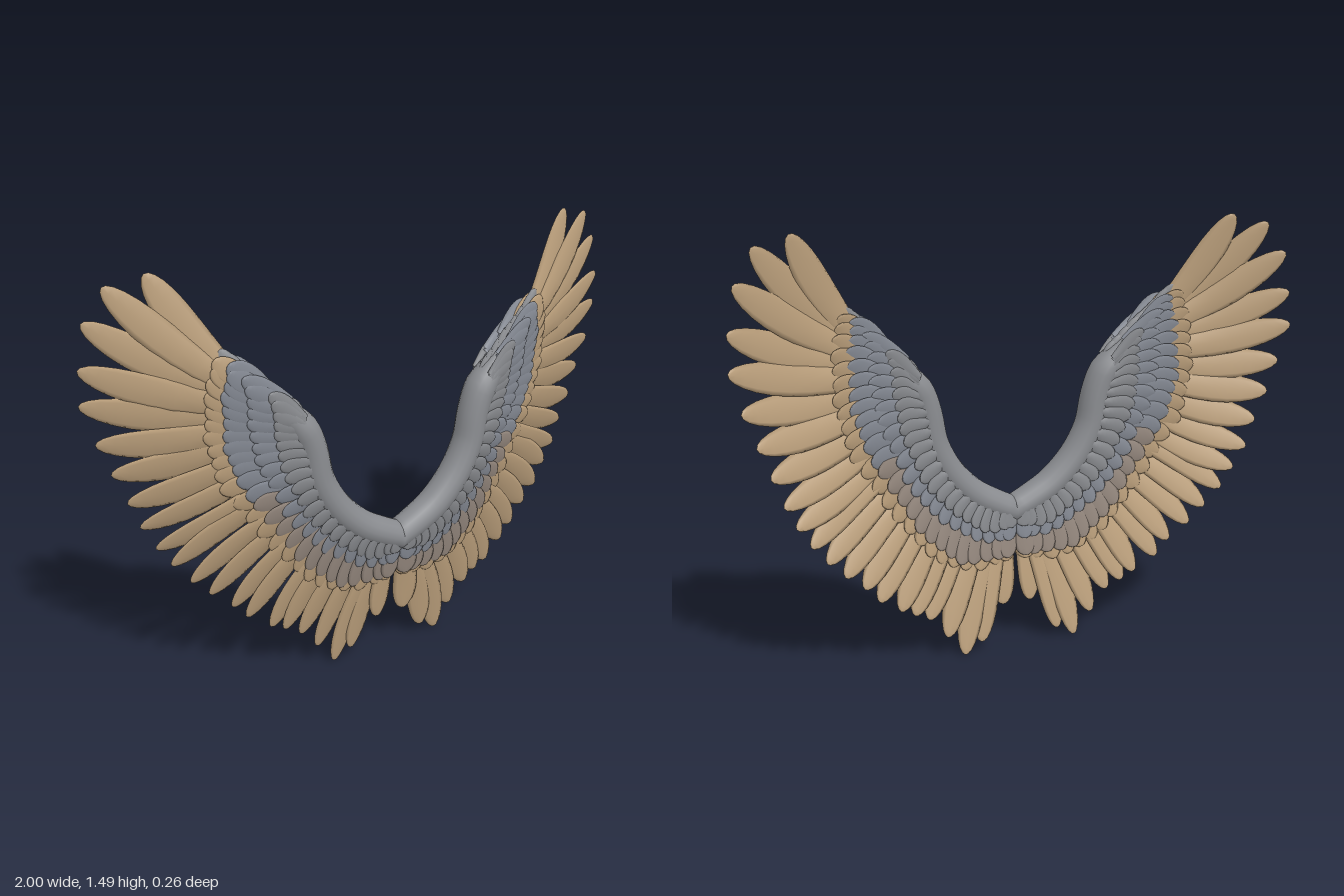
import * as THREE from 'three';

const mat = (name, color) => Object.assign(new THREE.MeshStandardMaterial({ color }), { name });
const spline = (pts) => new THREE.SplineCurve(pts.map(([x, y]) => new THREE.Vector2(x, y)));

// Wing arm: x, y, radius
const ARM = [
  [0, 0.482, 0.05], [0.08, 0.52, 0.053], [0.16, 0.57, 0.054], [0.24, 0.655, 0.054], [0.295, 0.76, 0.053],
  [0.318, 0.87, 0.053], [0.352, 0.955, 0.054], [0.42, 1.025, 0.042], [0.5, 1.105, 0.032], [0.58, 1.185, 0.012],
];
const armCurve = spline(ARM);
const armSamples = armCurve.getPoints(60);

// Curved sheet of the wing: sweeps back outwards and away from the arm
function sheetZ(x, y) {
  let d = 9;
  for (const p of armSamples) d = Math.min(d, Math.hypot(p.x - x, p.y - y));
  return 0.075 - 0.14 * x * x - 0.14 * d;
}

// Primary and secondary feather tips, from the top round to the tail
const FLIGHT_TIPS = [
  [0.785, 1.49], [0.905, 1.46], [0.97, 1.355], [0.995, 1.215], [1.0, 1.1], [0.965, 0.97], [0.925, 0.86], [0.885, 0.755],
  [0.85, 0.66], [0.81, 0.58], [0.765, 0.51], [0.71, 0.44], [0.65, 0.38], [0.58, 0.32], [0.53, 0.265], [0.45, 0.21],
  [0.4, 0.185], [0.345, 0.155], [0.28, 0.08], [0.215, 0.0], [0.15, 0.035], [0.055, 0.15],
];
const FLIGHT_ROOTS = [
  [0.54, 1.12], [0.51, 1.06], [0.47, 0.97], [0.43, 0.86], [0.39, 0.72], [0.32, 0.6], [0.22, 0.52], [0.1, 0.45], [0.03, 0.42],
];

// Covert rows: root x, y, tip x, y along the wing
const GREATER = [
  [0.5, 1.1, 0.63, 1.23], [0.5, 1.02, 0.66, 1.1], [0.46, 0.92, 0.66, 0.94], [0.42, 0.8, 0.62, 0.78],
  [0.36, 0.66, 0.5, 0.58], [0.27, 0.56, 0.36, 0.4], [0.15, 0.5, 0.22, 0.3], [0.03, 0.45, 0.04, 0.3],
];
const BAND = [
  [0.46, 1.1, 0.59, 1.21], [0.46, 1.02, 0.61, 1.1], [0.42, 0.92, 0.61, 0.94], [0.39, 0.8, 0.57, 0.8],
  [0.34, 0.67, 0.46, 0.6], [0.25, 0.57, 0.335, 0.42], [0.14, 0.5, 0.195, 0.32], [0.03, 0.46, 0.035, 0.32],
];
const MEDIAN = [
  [0.4, 1.06, 0.55, 1.16], [0.4, 1.0, 0.54, 1.05], [0.37, 0.9, 0.53, 0.92], [0.34, 0.8, 0.48, 0.78],
  [0.29, 0.68, 0.4, 0.61], [0.21, 0.6, 0.29, 0.49], [0.12, 0.54, 0.16, 0.4], [0.03, 0.49, 0.03, 0.38],
];
const LESSER = [
  [0.36, 1.0, 0.47, 1.1], [0.36, 0.96, 0.46, 1.0], [0.33, 0.88, 0.45, 0.88], [0.3, 0.78, 0.41, 0.75],
  [0.25, 0.67, 0.34, 0.61], [0.17, 0.58, 0.24, 0.51], [0.1, 0.53, 0.13, 0.43], [0.03, 0.49, 0.02, 0.43],
];
const EDGE = [[0.34, 0.97, 0.4, 1.06], [0.4, 1.02, 0.47, 1.13], [0.46, 1.07, 0.54, 1.19], [0.53, 1.12, 0.605, 1.255]];

// Skins closed rings of points into one growing geometry
function loft(out, rings, side) {
  const base = out.pos.length / 3, n = rings[0].length;
  for (const ring of rings) for (const [x, y, z] of ring) out.pos.push(x * side, y, z);
  for (let i = 0; i < rings.length - 1; i++) {
    for (let j = 0; j < n; j++) {
      const a = base + i * n + j, b = base + i * n + (j + 1) % n, c = a + n, d = b + n;
      if (side > 0) out.idx.push(a, b, c, b, d, c);
      else out.idx.push(a, c, b, b, c, d);
    }
  }
}

function toMesh(out, name, material) {
  const g = new THREE.BufferGeometry();
  g.setAttribute('position', new THREE.Float32BufferAttribute(out.pos, 3));
  g.setIndex(out.idx);
  g.computeVertexNormals();
  const m = new THREE.Mesh(g, material);
  m.name = name;
  return m;
}

// One lens-shaped feather with a rounded tip, lying on the sheet
function feather(out, side, [rx, ry, tx, ty], { half, thick, off, bend = 0, tilt = 0.15 }) {
  const dx = tx - rx, dy = ty - ry, len = Math.hypot(dx, dy);
  const px = -dy / len, py = dx / len;
  const rings = [];
  for (let i = 0; i <= 10; i++) {
    const s = Math.sin((i / 10) * Math.PI / 2);
    const w = half * (s < 0.62 ? 0.55 + 0.45 * Math.sin((s / 0.62) * Math.PI / 2)
      : Math.sqrt(Math.max(0, 1 - ((s - 0.62) / 0.38) ** 2)));
    const t = thick * (i === 10 ? 0 : 1 - 0.6 * s);
    const k = bend * len * Math.sin(s * Math.PI);
    const cx = rx + dx * s + px * k, cy = ry + dy * s + py * k;
    const z0 = sheetZ(cx, cy) + off;
    const ring = [];
    for (let j = 0; j < 8; j++) {
      const a = (j / 8) * Math.PI * 2, c = Math.cos(a) * w;
      ring.push([cx + px * c, cy + py * c, z0 + Math.sin(a) * t + c * tilt]);
    }
    rings.push(ring);
  }
  loft(out, rings, side);
}

// A row of feathers between two guide curves, from u0 to u1
function row(side, name, material, guide, count, opts, u0 = 0, u1 = 1) {
  const roots = spline(guide.map((g) => [g[0], g[1]])), tips = spline(guide.map((g) => [g[2], g[3]]));
  const out = { pos: [], idx: [] };
  for (let i = 0; i < count; i++) {
    const u = u0 + (u1 - u0) * (i / (count - 1));
    const r = roots.getPoint(u), t = tips.getPoint(u);
    t.lerp(r, 0.06 * Math.abs(Math.sin(i * 2.3 + count))); // uneven lengths
    feather(out, side, [r.x, r.y, t.x, t.y], opts);
  }
  return toMesh(out, name, material);
}

function makeArm(side, material) {
  const out = { pos: [], idx: [] }, rings = [], N = 36;
  for (let i = 0; i <= N; i++) {
    const u = i / N, p = armCurve.getPoint(u), t = armCurve.getTangent(u);
    const f = u * (ARM.length - 1), k = Math.min(Math.floor(f), ARM.length - 2);
    const r = i === N ? 0 : THREE.MathUtils.lerp(ARM[k][2], ARM[k + 1][2], f - k);
    if (i === 0) t.set(1, 0);
    const z0 = 0.075 - 0.14 * p.x * p.x;
    const ring = [];
    for (let j = 0; j < 16; j++) {
      const a = (j / 16) * Math.PI * 2, c = Math.cos(a) * r;
      ring.push([p.x - t.y * c, p.y + t.x * c, z0 + Math.sin(a) * r * 1.08]);
    }
    rings.push(ring);
  }
  loft(out, rings, side);
  return toMesh(out, 'wingArm', material);
}

function makeWing(side, name, m) {
  const wing = new THREE.Group();
  wing.name = name;
  wing.add(makeArm(side, m.grey));

  // Long flight feathers
  const out = { pos: [], idx: [] }, roots = spline(FLIGHT_ROOTS), n = FLIGHT_TIPS.length;
  FLIGHT_TIPS.forEach(([x, y], i) => {
    const r = roots.getPoint(i / (n - 1));
    feather(out, side, [r.x, r.y, x, y], {
      half: i < 8 ? 0.052 : 0.046, thick: 0.014, off: (i % 2) * 0.006 - 0.003, bend: i < 10 ? -0.03 : 0.03, tilt: 0.18,
    });
  });
  wing.add(toMesh(out, 'flightFeathers', m.tan));

  // Covert rows on the front and back faces
  for (const [face, label] of [[1, 'front'], [-1, 'back']]) {
    const o = (half, off, thick = 0.011) => ({ half, thick, off: off * face, tilt: 0.15 * face });
    wing.add(
      row(side, label + 'GreaterCoverts', m.tan, GREATER, 24, o(0.042, 0.015)),
      row(side, label + 'OuterBand', m.blueGrey, BAND, 12, o(0.042, 0.024), 0, 0.47),
      row(side, label + 'InnerBand', m.taupe, BAND, 13, o(0.04, 0.024), 0.5, 1),
      row(side, label + 'MedianCoverts', m.blueGrey, MEDIAN, 22, o(0.034, 0.033)),
      row(side, label + 'LesserCoverts', m.grey, LESSER, 22, o(0.03, 0.042)),
    );
  }

  // Small tufts along the leading edge
  wing.add(row(side, 'leadingEdgeTufts', m.grey, EDGE, 9, { half: 0.028, thick: 0.02, off: 0 }));
  return wing;
}

export function createModel() {
  const m = {
    tan: mat('tan feather', 0xbda17d),
    taupe: mat('taupe feather', 0x978a80),
    blueGrey: mat('blue grey feather', 0x878c96),
    grey: mat('grey feather', 0x8a8c90),
  };
  const model = new THREE.Group();
  model.name = 'wings';
  model.add(makeWing(1, 'leftWing', m), makeWing(-1, 'rightWing', m));
  return model;
}
